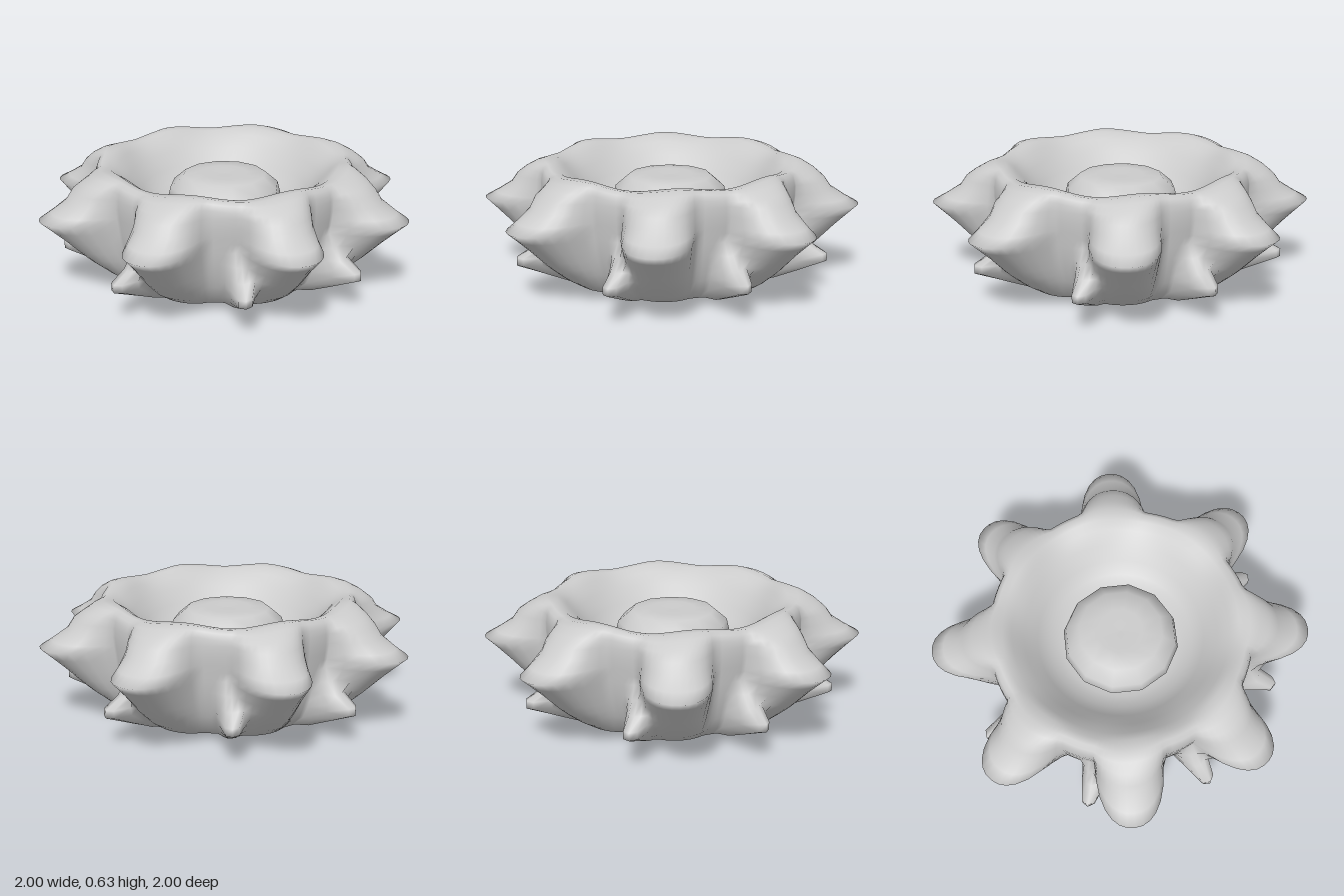
import * as THREE from 'three';

const COLS = 160, LOBES = 8, STEP = 360 / LOBES;
const LOBE_AT = 2.8, SPIKE_AT = 18.3; // degrees round from +x towards +z

// Each ring, from the base up the outside, over the rim and down the inside:
// height, radius, reach of the big lobes, reach of the small spikes
const RINGS = [
  [0.005, 0.001, 0, 0], [0.005, 0.15, 0, 0], [0.014, 0.40, 0.01, 0.02],
  [0.045, 0.53, 0.04, 0.06], [0.10, 0.585, 0.07, 0.13], [0.165, 0.615, 0.12, 0.245],
  [0.205, 0.63, 0.15, 0.23], [0.25, 0.645, 0.18, 0.12], [0.31, 0.66, 0.225, 0.05],
  [0.37, 0.67, 0.28, 0], [0.415, 0.675, 0.325, 0], [0.45, 0.68, 0.255, 0],
  [0.50, 0.685, 0.17, 0], [0.55, 0.685, 0.135, 0], [0.585, 0.68, 0.09, 0],
  [0.615, 0.67, 0.045, 0], [0.63, 0.645, 0.02, 0], [0.625, 0.605, 0, 0],
  [0.595, 0.56, 0, 0], [0.545, 0.50, 0, 0], [0.475, 0.435, 0, 0],
  [0.42, 0.375, 0, 0], [0.40, 0.31, 0, 0], [0.39, 0.25, 0, 0], [0.39, 0.001, 0, 0],
];

// Signed angle in degrees to the nearest repeat of a feature
function offset(deg, centre) {
  const d = (((deg - centre) % STEP) + STEP) % STEP;
  return d > STEP / 2 ? d - STEP : d;
}

// Wide lobe with a blunt point
function lobe(deg) {
  return Math.max(0, 1 - (Math.abs(offset(deg, LOBE_AT)) / 15) ** 2.3);
}

// Spike that is steep on its free side and runs into the lobe on the other
function spike(deg) {
  const d = offset(deg, SPIKE_AT);
  return 1 - THREE.MathUtils.smoothstep(Math.abs(d), 1, d > 0 ? 7 : 9);
}

function bowlGeometry() {
  const pos = [], index = [];
  RINGS.forEach(([y, r, lobeReach, spikeReach], i) => {
    for (let j = 0; j < COLS; j++) {
      const deg = (j / COLS) * 360, a = THREE.MathUtils.degToRad(deg);
      const radius = r + Math.max(lobeReach * lobe(deg), spikeReach * spike(deg));
      // the rim rises and falls a little
      const wave = y > 0.57 ? 0.01 * Math.cos(8 * a + 0.8) : 0;
      pos.push(radius * Math.cos(a), y + wave, radius * Math.sin(a));
      if (i === RINGS.length - 1) continue;
      const p = i * COLS + j, q = i * COLS + (j + 1) % COLS;
      index.push(p, p + COLS, q, q, p + COLS, q + COLS);
    }
  });
  const geo = new THREE.BufferGeometry();
  geo.setAttribute('position', new THREE.Float32BufferAttribute(pos, 3));
  geo.setIndex(index);
  geo.computeVertexNormals();
  return geo;
}

export function createModel() {
  const group = new THREE.Group();
  const material = new THREE.MeshStandardMaterial({ color: 0xcccccc, side: THREE.DoubleSide });

  // Lobed bowl with spikes beneath
  const bowl = new THREE.Mesh(bowlGeometry(), material);
  bowl.name = 'lobedBowl';
  group.add(bowl);

  // Domed button in the middle
  const profile = [[0.28, 0.38], [0.305, 0.43], [0.29, 0.49], [0.22, 0.55], [0.12, 0.555], [0, 0.55]];
  const button = new THREE.Mesh(
    new THREE.LatheGeometry(profile.map(([x, y]) => new THREE.Vector2(x, y)), 12), material);
  button.name = 'centreButton';
  group.add(button);

  return group;
}
